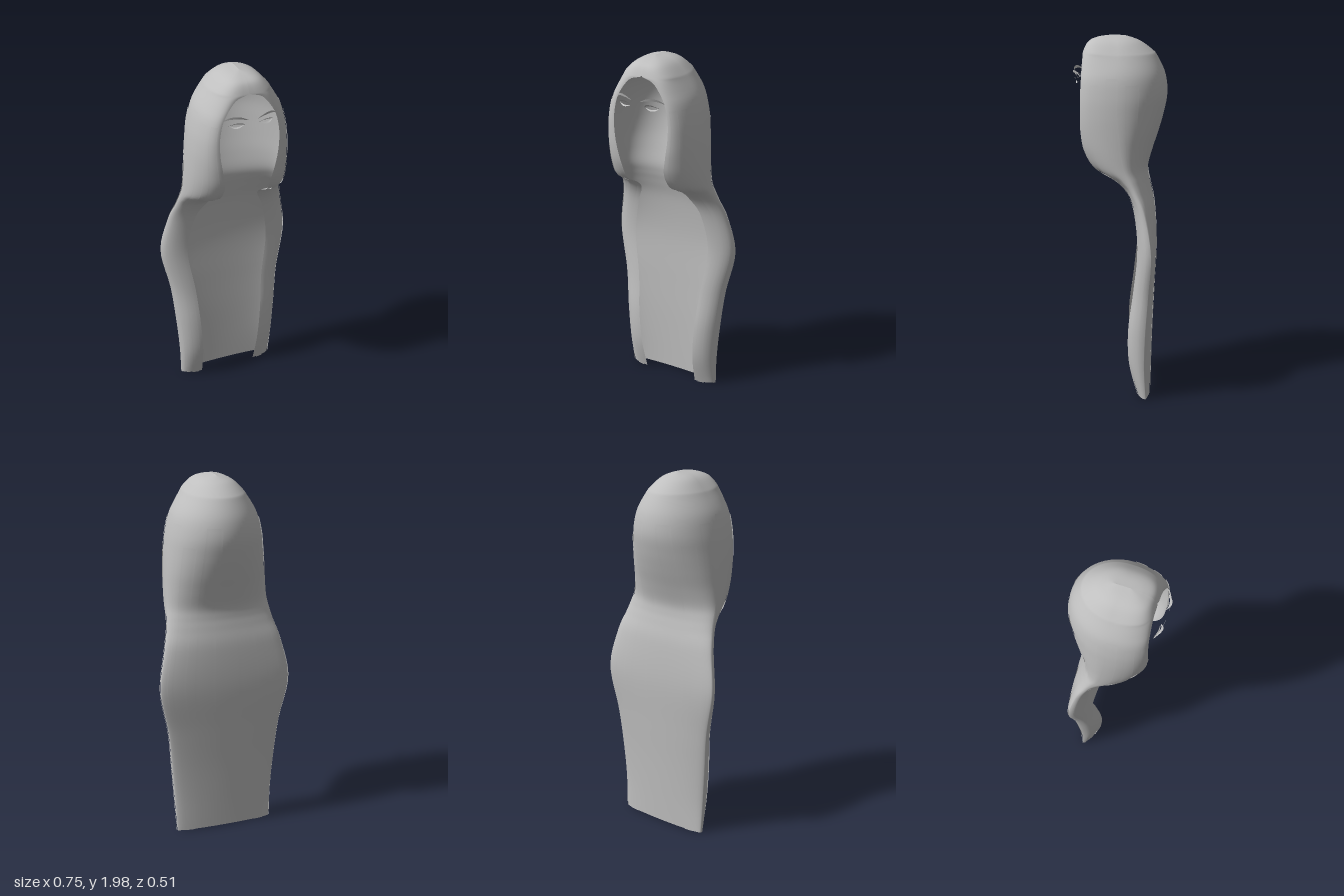
import * as THREE from 'three';

// Height, half width, back z, widest z, front edge x, front edge z
const LEVELS = [
  [2.0, 0.0, -0.02, 0.03, 0, 0.06],
  [1.988, 0.06, -0.06, 0.02, 0, 0.12],
  [1.965, 0.105, -0.115, 0.01, 0, 0.17],
  [1.92, 0.15, -0.175, 0.01, 0, 0.197],
  [1.89, 0.172, -0.2, 0.01, 0.075, 0.2],
  [1.8, 0.225, -0.242, 0.01, 0.14, 0.205],
  [1.7, 0.253, -0.255, 0.01, 0.165, 0.208],
  [1.6, 0.268, -0.238, 0.01, 0.165, 0.21],
  [1.5, 0.277, -0.21, 0.0, 0.15, 0.208],
  [1.4, 0.283, -0.177, -0.01, 0.132, 0.19],
  [1.31, 0.288, -0.152, -0.03, 0.135, 0.135],
  [1.25, 0.296, -0.153, -0.06, 0.14, 0.03],
  [1.19, 0.308, -0.165, -0.09, 0.155, -0.035],
  [1.08, 0.338, -0.187, -0.135, 0.205, -0.08],
  [0.87, 0.373, -0.2, -0.17, 0.24, -0.1],
  [0.62, 0.325, -0.19, -0.155, 0.205, -0.077],
  [0.4, 0.302, -0.18, -0.14, 0.187, -0.05],
  [0.2, 0.286, -0.174, -0.135, 0.173, -0.055],
  [0.02, 0.277, -0.17, -0.145, 0.165, -0.1],
];

// Smooth interpolation of one cross-section
function section(v) {
  const n = LEVELS.length - 1;
  const s = Math.min(v, 1) * n;
  const i = Math.min(Math.floor(s), n - 1);
  const t = s - i;
  const row = (k) => LEVELS[Math.max(0, Math.min(n, k))];
  return LEVELS[0].map((_, c) => {
    const a = row(i - 1)[c], b = row(i)[c], d = row(i + 1)[c], e = row(i + 2)[c];
    return b + 0.5 * t * (d - a + t * (2 * a - 5 * b + 4 * d - e + t * (3 * (b - d) + e - a)));
  });
}

// Point on the hair: u = -1 right front edge, 0 back centre, 1 left front edge
function hairPoint(u, v) {
  const [y, w, back, side, edgeRaw, front] = section(v);
  const edge = Math.max(0, edgeRaw);
  const a = Math.abs(u) * 2;
  let x, z;
  if (a <= 1) {
    const t = a * Math.PI / 2;
    x = w * Math.sin(t);
    z = side + (back - side) * Math.cos(t);
  } else {
    const t = (a - 1) * Math.PI / 2;
    const power = 0.6 + 0.4 * Math.min(1, edge / 0.12);
    x = edge + (w - edge) * Math.pow(Math.max(0, Math.cos(t)), power);
    z = side + (front - side) * Math.pow(Math.sin(t), power);
  }
  return new THREE.Vector3(Math.sign(u) * x, y, z);
}

// Patch of the hair surface, raised by an offset along its normal
function patch(u0, u1, v0, v1, nu, nv, offset = 0) {
  const pos = [], index = [];
  const e = 0.004;
  for (let j = 0; j <= nv; j++) {
    for (let i = 0; i <= nu; i++) {
      const u = u0 + (u1 - u0) * i / nu;
      const v = v0 + (v1 - v0) * j / nv;
      const p = hairPoint(u, v);
      if (offset) {
        const du = hairPoint(u + e, v).sub(hairPoint(u - e, v));
        const dv = hairPoint(u, v + e).sub(hairPoint(u, v - e));
        p.addScaledVector(du.cross(dv).normalize(), offset);
      }
      pos.push(p.x, p.y, p.z);
      if (i < nu && j < nv) {
        const a = j * (nu + 1) + i, b = a + nu + 1;
        index.push(a, a + 1, b, a + 1, b + 1, b);
      }
    }
  }
  return surface(pos, index);
}

function surface(pos, index) {
  const g = new THREE.BufferGeometry();
  g.setAttribute('position', new THREE.Float32BufferAttribute(pos, 3));
  g.setIndex(index);
  g.computeVertexNormals();
  return g;
}

// Thin upright ribbon along a curve, tapering to both ends
function ribbon(points, height, depth) {
  const curve = new THREE.CatmullRomCurve3(points.map((p) => new THREE.Vector3(...p)));
  const pos = [], index = [], n = 16;
  for (let i = 0; i <= n; i++) {
    const p = curve.getPoint(i / n);
    const k = 0.15 + 0.85 * Math.sin(Math.PI * i / n);
    pos.push(p.x, p.y - height * k / 2, p.z, p.x, p.y + height * k / 2, p.z + depth * k);
    if (i < n) index.push(2 * i, 2 * i + 2, 2 * i + 1, 2 * i + 1, 2 * i + 2, 2 * i + 3);
  }
  return surface(pos, index);
}

export function createModel() {
  const model = new THREE.Group();
  const hairGrey = new THREE.MeshStandardMaterial({ color: 0xbfbfbf, side: THREE.DoubleSide });
  hairGrey.name = 'hairGrey';
  const add = (name, geometry, parent = model) => {
    const mesh = new THREE.Mesh(geometry, hairGrey);
    mesh.name = name;
    parent.add(mesh);
    return mesh;
  };

  // Main open-fronted sheet of hair
  add('hairShell', patch(-1, 1, 0, 1, 80, 108));

  // Overlapping locks: [u start, u end, v start, v end], mirrored
  const locks = [
    [0.06, 0.17, 0.3, 0.995], [0.22, 0.32, 0.36, 1], [0.36, 0.45, 0.3, 0.99],
    [0.5, 0.6, 0.28, 1], [0.66, 0.76, 0.3, 0.98], [0.82, 0.94, 0.3, 1],
  ];
  for (const side of [1, -1]) {
    const label = side > 0 ? 'left' : 'right';
    const strands = new THREE.Group();
    strands.name = label + 'Locks';
    model.add(strands);
    for (const [a, b, v0, v1] of locks) {
      const [u0, u1] = side > 0 ? [a, b] : [-b, -a];
      add('lock', patch(u0, u1, v0, v1, 6, 64, 0.004), strands);
    }

    // Eyebrow and lashes
    const face = new THREE.Group();
    face.name = label + 'Eye';
    model.add(face);
    const mirror = (pts) => pts.map(([x, y, z]) => [x * side, y, z]);
    add('eyebrow', ribbon(mirror([[0.025, 1.8, 0.252], [0.07, 1.815, 0.246],
      [0.115, 1.812, 0.226], [0.15, 1.79, 0.2]]), 0.014, 0.004), face);
    add('upperLash', ribbon(mirror([[0.04, 1.768, 0.232], [0.06, 1.783, 0.24],
      [0.09, 1.785, 0.236], [0.125, 1.77, 0.22]]), 0.012, 0.014), face);
    add('lowerLash', ribbon(mirror([[0.045, 1.766, 0.232], [0.075, 1.757, 0.236],
      [0.1, 1.758, 0.23], [0.12, 1.768, 0.22]]), 0.006, -0.008), face);
  }
  return model;
}
